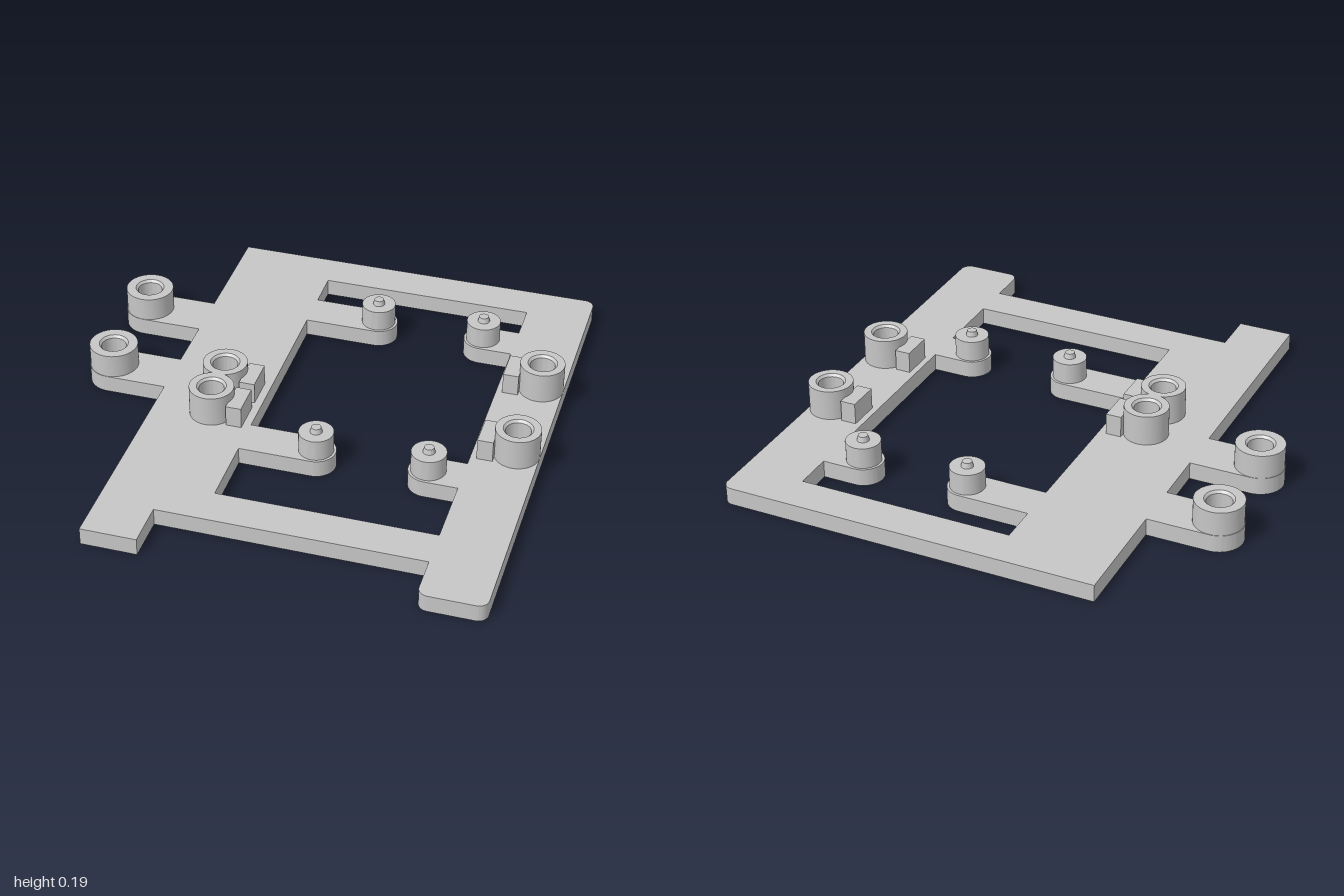
import * as THREE from 'three';
import { toCreasedNormals } from 'three/addons/utils/BufferGeometryUtils.js';

const PLATE = 0.07;
const HALF = Math.PI / 2;

export function createModel() {
  const model = new THREE.Group();
  model.name = 'mountingFrame';
  const grey = new THREE.MeshStandardMaterial({ color: 0xc6c6c6 });
  grey.name = 'plain grey';

  const add = (name, geometry, x = 0, y = 0, z = 0) => {
    const mesh = new THREE.Mesh(geometry, grey);
    mesh.name = name;
    mesh.position.set(x, y, z);
    model.add(mesh);
  };
  const lathe = (pairs) => toCreasedNormals(
    new THREE.LatheGeometry(pairs.map(([r, y]) => new THREE.Vector2(r, y)), 48), 0.5);

  // Flat frame outline, clockwise, drawn with shape y = -z
  const c = 0.04;
  const outline = new THREE.Shape();
  outline.moveTo(-0.588, -1);
  for (const cy of [0.018, 0.441]) { // outer arms
    outline.lineTo(-0.588, cy - 0.098);
    outline.absarc(-0.832, cy, 0.098, -HALF, HALF, true);
    outline.lineTo(-0.588, cy + 0.098);
  }
  outline.lineTo(-0.588, 1);
  outline.absarc(0.93 - c, 1 - c, c, HALF, 0, true);
  outline.absarc(0.93 - c, -1 + c, c, 0, -HALF, true);
  outline.absarc(0.675 + c, -1 + c, c, -HALF, -Math.PI, true);
  outline.lineTo(0.675, -0.818);
  outline.lineTo(-0.367, -0.818);
  outline.lineTo(-0.367, -1);
  outline.closePath();

  // Central opening, anticlockwise, with four inward arms
  const opening = new THREE.Path();
  opening.moveTo(-0.182, 0.843);
  for (const cy of [0.609, -0.3]) {
    opening.lineTo(-0.182, cy + 0.078);
    opening.absarc(0.103, cy, 0.078, HALF, -HALF, true);
    opening.lineTo(-0.182, cy - 0.078);
  }
  opening.lineTo(-0.182, -0.663);
  opening.lineTo(0.675, -0.663);
  for (const cy of [-0.3, 0.609]) {
    opening.lineTo(0.675, cy - 0.078);
    opening.absarc(0.543, cy, 0.078, 3 * HALF, HALF, true);
    opening.lineTo(0.675, cy + 0.078);
  }
  opening.lineTo(0.675, 0.843);
  opening.closePath();
  outline.holes.push(opening);

  const plate = new THREE.ExtrudeGeometry(outline, { depth: PLATE, bevelEnabled: false, curveSegments: 20 });
  plate.rotateX(-HALF);
  add('framePlate', toCreasedNormals(plate, 0.5));

  // Hollow bosses with a chamfered bore
  const boss = (radius, height) => lathe([
    [radius, 0], [radius, height], [0.058, height], [0.049, height - 0.01], [0.049, 0.004], [0, 0.004],
  ]);
  for (const z of [-0.441, -0.018]) add('outerBoss', boss(0.096, 0.097), -0.832, PLATE, z);
  const bosses = [[0.842, -0.33], [0.842, 0.115], [-0.353, 0.014], [-0.353, 0.183]];
  for (const [x, z] of bosses) {
    add('tallBoss', boss(0.088, 0.124), x, PLATE, z);
    // Stop block beside each boss
    add('stopBlock', new THREE.BoxGeometry(0.062, 0.087, 0.134),
      x > 0 ? 0.731 : -0.244, PLATE + 0.0435, z);
  }

  // Locating posts with a small tapered pin
  const post = lathe([
    [0.068, 0], [0.068, 0.086], [0.024, 0.086], [0.019, 0.107], [0, 0.107],
  ]);
  for (const x of [0.103, 0.543]) {
    for (const z of [-0.609, 0.3]) add('pinPost', post, x, PLATE, z);
  }
  return model;
}
